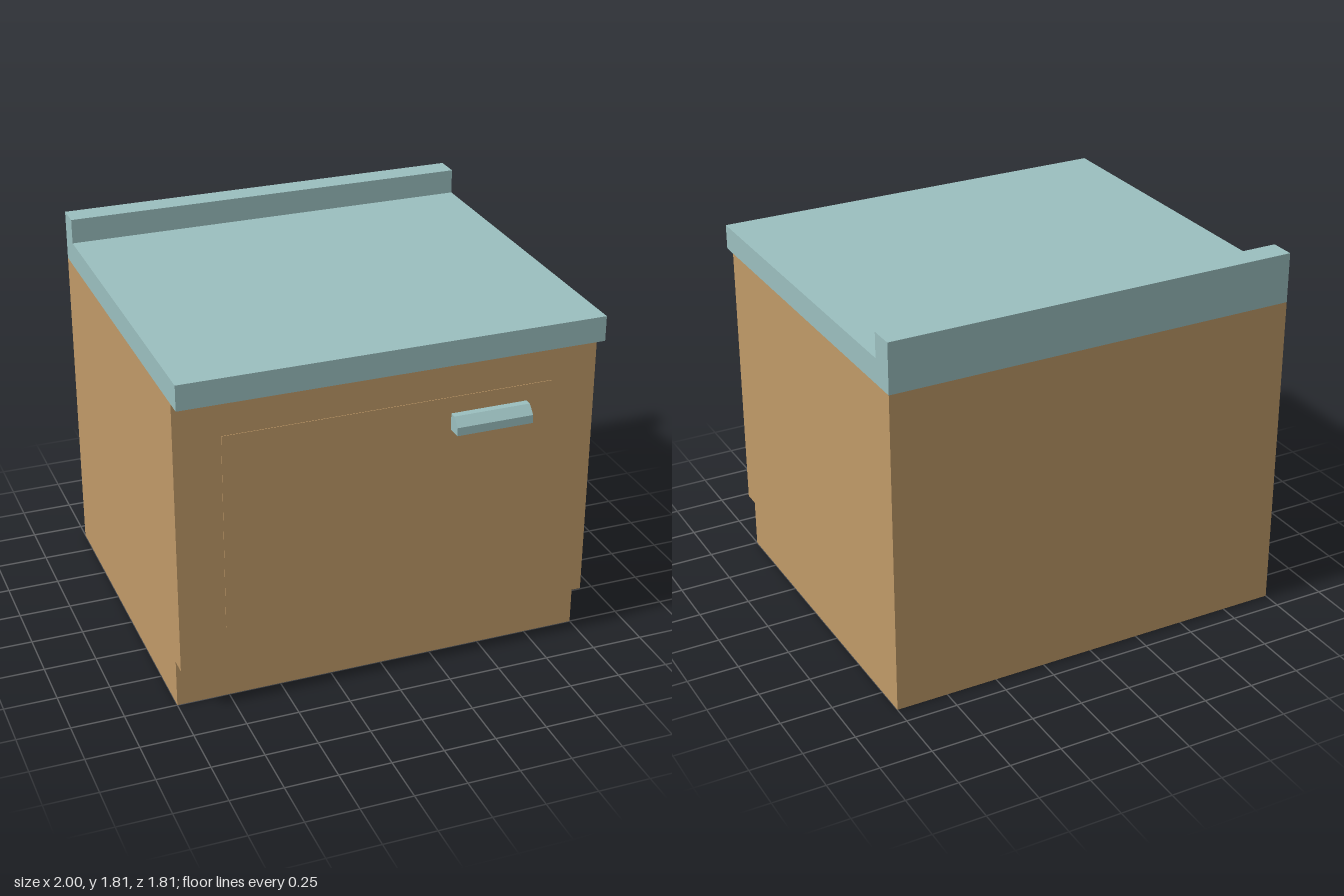
import * as THREE from 'three';

const wood = new THREE.MeshStandardMaterial({ color: 0xc09a68, flatShading: true });
wood.name = 'wood';
const worktop = new THREE.MeshStandardMaterial({ color: 0x9bbfbf, flatShading: true });
worktop.name = 'paleTeal';

// Extrudes a side profile of [z, y] points along x, from x0 to x1
function profilePart(name, points, x0, x1, material) {
  const shape = new THREE.Shape(points.map(([z, y]) => new THREE.Vector2(z, y)));
  const geometry = new THREE.ExtrudeGeometry(shape, { depth: x1 - x0, bevelEnabled: false });
  geometry.rotateY(-Math.PI / 2).translate(x1, 0, 0);
  const mesh = new THREE.Mesh(geometry, material);
  mesh.name = name;
  return mesh;
}

export function createModel() {
  const group = new THREE.Group();
  group.name = 'kitchenCabinet';
  const back = -0.905, front = 0.905, face = 0.83;

  // Cabinet body with a recessed toe kick
  group.add(profilePart('cabinetBody', [
    [back, 0], [0.75, 0], [0.75, 0.235], [face, 0.235], [face, 1.57], [back, 1.57],
  ], -1, 1, wood));

  // Worktop with a raised backsplash
  group.add(profilePart('worktop', [
    [back, 1.57], [front, 1.57], [front, 1.69], [-0.785, 1.69], [-0.785, 1.81], [back, 1.81],
  ], -1, 1, worktop));

  // Thin door panel on the front
  const door = new THREE.Mesh(new THREE.BoxGeometry(1.565, 0.96, 0.004), wood);
  door.name = 'doorPanel';
  door.position.set(0, 0.9, face + 0.001);
  group.add(door);

  // Handle with a chamfered upper edge
  group.add(profilePart('handle', [
    [face, 1.22], [front, 1.22], [front, 1.26], [0.867, 1.3], [face, 1.3],
  ], 0.29, 0.66, worktop));

  return group;
}
